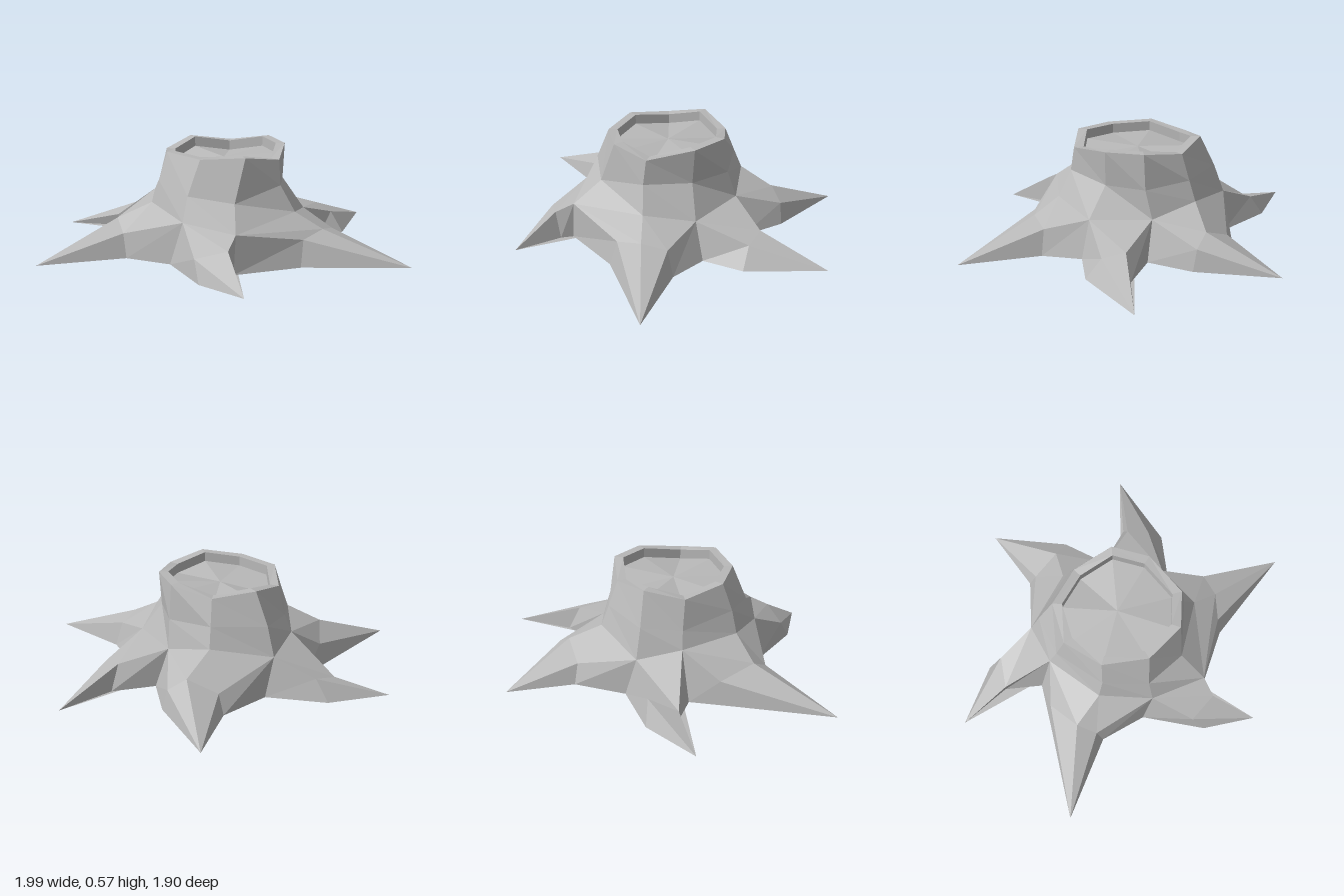
import * as THREE from 'three';

// Rings run clockwise seen from above, starting at the back left; points are [x, y, z].
const rim = [
  [-0.26, 0.56, -0.22], [-0.03, 0.53, -0.28], [0.2, 0.57, -0.21],
  [0.3, 0.565, -0.02], [0.28, 0.525, 0.24], [0.11, 0.56, 0.38],
  [-0.13, 0.545, 0.37], [-0.33, 0.55, 0.21], [-0.37, 0.52, -0.03],
];
const waist = [
  [-0.33, 0.38, -0.27], [-0.03, 0.39, -0.335], [0.21, 0.375, -0.23],
  [0.29, 0.37, -0.01], [0.29, 0.39, 0.26], [0.06, 0.33, 0.45],
  [-0.19, 0.36, 0.43], [-0.37, 0.4, 0.25], [-0.41, 0.36, -0.06],
];
const collar = [
  [-0.37, 0.22, -0.31], [-0.03, 0.28, -0.38], [0.21, 0.22, -0.28],
  [0.41, 0.2, 0], [0.37, 0.25, 0.28], [0.08, 0.21, 0.61],
  [-0.21, 0.23, 0.48], [-0.41, 0.28, 0.26], [-0.45, 0.27, -0.08],
];
// Ground points of the hollows between roots, keyed by collar index
const hollow = {
  0: [-0.33, 0, -0.36], 2: [0.28, 0, -0.31], 3: [0.49, 0, -0.02],
  5: [0.07, 0, 0.62], 6: [-0.28, 0, 0.48], 8: [-0.54, 0, -0.08],
};
// Each root: collar points it grows from, knuckle section (ground to ground), tip
const roots = [
  { name: 'backRoot', from: [0, 1, 2], tip: [-0.06, 0, -0.95],
    knuckle: [[-0.13, 0, -0.58], [-0.1, 0.11, -0.55], [0.07, 0.18, -0.54], [0.17, 0.12, -0.56], [0.2, 0, -0.56]] },
  { name: 'backLeftRoot', from: [2, 3], tip: [0.74, 0, -0.64],
    knuckle: [[0.51, 0, -0.4], [0.48, 0.14, -0.34], [0.57, 0.11, -0.25], [0.64, 0, -0.2]] },
  { name: 'frontLeftRoot', from: [3, 4, 5], tip: [0.99, 0, 0.42],
    knuckle: [[0.61, 0, 0.17], [0.57, 0.14, 0.19], [0.52, 0.17, 0.32], [0.42, 0.14, 0.43], [0.41, 0, 0.47]] },
  { name: 'frontRoot', from: [5, 6], tip: [0.15, 0, 0.95],
    knuckle: [[0.07, 0, 0.69], [0.05, 0.155, 0.71], [-0.12, 0.11, 0.71], [-0.09, 0, 0.78]] },
  { name: 'frontRightRoot', from: [6, 7, 8], tip: [-0.98, 0, 0.57],
    knuckle: [[-0.53, 0, 0.4], [-0.55, 0.13, 0.37], [-0.6, 0.19, 0.27], [-0.61, 0.13, 0.07], [-0.68, 0, 0.13]] },
  { name: 'backRightRoot', from: [8, 0], tip: [-1, 0, -0.25],
    knuckle: [[-0.7, 0, -0.22], [-0.7, 0.07, -0.21], [-0.6, 0.12, -0.34], [-0.67, 0, -0.38]] },
];

// Triangles between an inner and an outer row of points
function strip(inner, outer, closed) {
  const tris = [], n = inner.length;
  for (let i = 0; i < (closed ? n : n - 1); i++) {
    const j = (i + 1) % n;
    tris.push(inner[j], outer[j], outer[i], inner[j], outer[i], inner[i]);
  }
  return tris;
}

// Triangles from a row of points out to a single tip
function taper(row, tip) {
  return row.slice(1).flatMap((p, i) => [p, tip, row[i]]);
}

// Triangles from a centre to a closed ring, facing up or down
function fan(centre, ring, up) {
  return ring.flatMap((p, i) => {
    const q = ring[(i + 1) % ring.length];
    return up ? [centre, q, p] : [centre, p, q];
  });
}

export function createModel() {
  const group = new THREE.Group();
  group.name = 'treeStump';
  const grey = new THREE.MeshStandardMaterial({ color: 0xb8b8b8, flatShading: true });
  grey.name = 'plain grey';

  const add = (name, tris) => {
    const geometry = new THREE.BufferGeometry();
    geometry.setAttribute('position', new THREE.Float32BufferAttribute(tris.flat(), 3));
    geometry.computeVertexNormals();
    const mesh = new THREE.Mesh(geometry, grey);
    mesh.name = name;
    group.add(mesh);
  };

  // Trunk wall, bark rim and sunken cut face
  const cx = -0.035, cz = 0.05;
  const inner = rim.map(([x, y, z]) => [cx + (x - cx) * 0.85, y, cz + (z - cz) * 0.85]);
  const floor = inner.map(([x, y, z]) => [x, y - 0.055, z]);
  add('trunk', [...strip(rim, waist, true), ...strip(waist, collar, true)]);
  add('barkRim', [...strip(inner, rim, true), ...strip(floor, inner, true)]);
  add('cutFace', fan([cx, 0.495, cz], floor, true));

  // Roots spreading from the collar, and the outline they leave on the ground
  const outline = [];
  for (const { name, from, knuckle, tip } of roots) {
    const first = hollow[from[0]], last = hollow[from[from.length - 1]];
    const base = [first, ...from.map((i) => collar[i]), last];
    add(name, [...strip(base, knuckle, false), ...taper(knuckle, tip)]);
    outline.push(first, knuckle[0], tip, knuckle[knuckle.length - 1]);
  }
  add('underside', fan([0, 0, 0.05], outline, false));

  return group;
}
